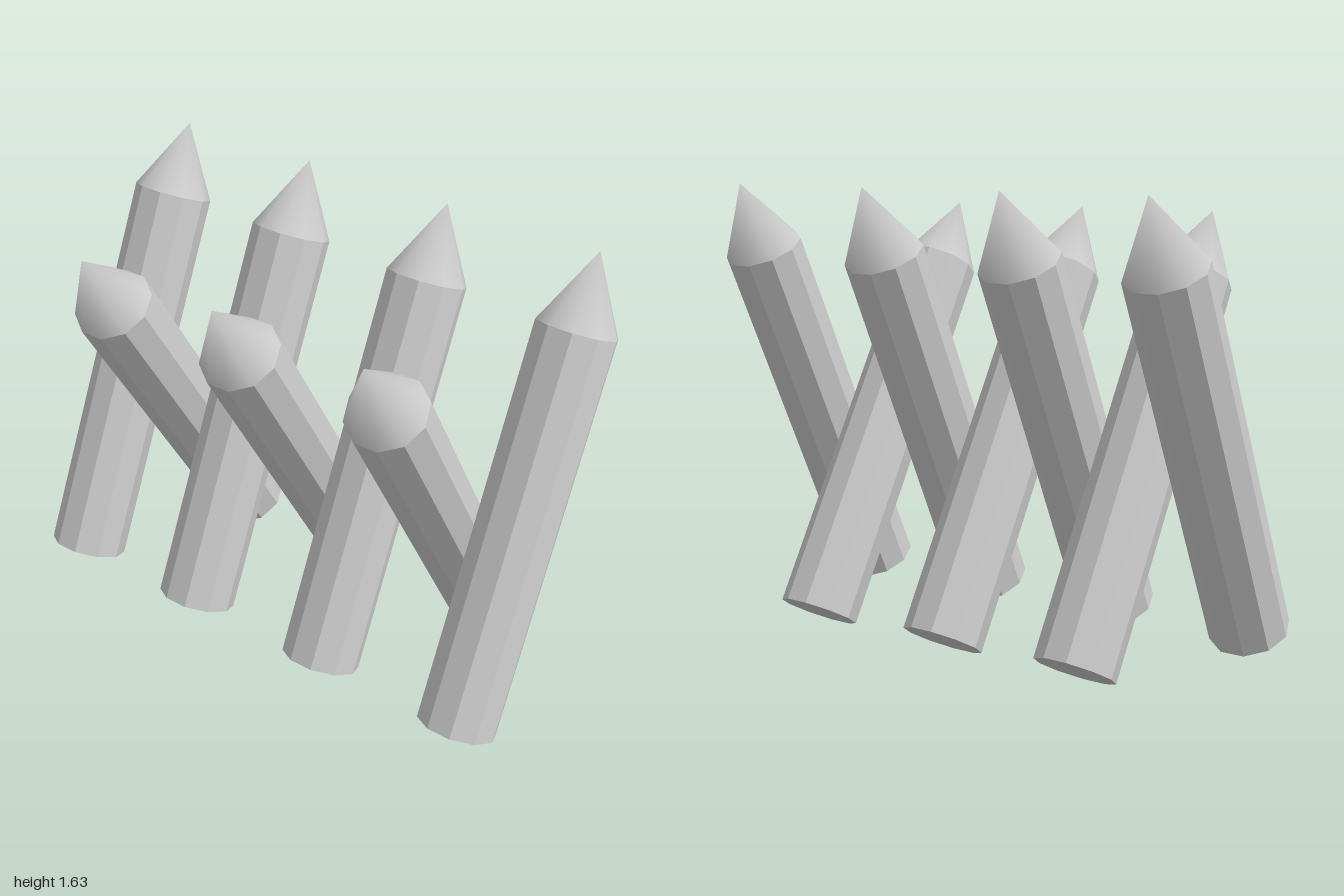
import * as THREE from 'three';
import { mergeVertices } from 'three/addons/utils/BufferGeometryUtils.js';

const SIDES = 10;
const RADIUS = 0.143;
const SHAFT = 1.438;
const POINT = 0.264;
const TURN = Math.PI / SIDES; // puts corners on the left and right of each log

export function createModel() {
  const group = new THREE.Group();
  const flat = new THREE.MeshStandardMaterial({ color: 0xcccccc, flatShading: true });
  const smooth = new THREE.MeshStandardMaterial({ color: 0xcccccc, side: THREE.DoubleSide });

  // Faceted shaft, standing on its foot
  const shaftGeometry = new THREE.CylinderGeometry(RADIUS, RADIUS, SHAFT, SIDES, 1, false, TURN);
  shaftGeometry.translate(0, SHAFT / 2, 0);

  // Smooth sharpened point with one shared tip vertex
  let pointGeometry = new THREE.ConeGeometry(RADIUS, POINT, SIDES, 1, true, TURN);
  pointGeometry.deleteAttribute('uv');
  pointGeometry.deleteAttribute('normal');
  pointGeometry = mergeVertices(pointGeometry);
  pointGeometry.computeVertexNormals();
  pointGeometry.translate(0, SHAFT + POINT / 2, 0);

  // One row of parallel stakes leaning by the given angle
  function addRow(name, xs, y, z, lean) {
    xs.forEach((x, i) => {
      const stake = new THREE.Group();
      stake.name = `${name}${i + 1}`;
      const shaft = new THREE.Mesh(shaftGeometry, flat);
      shaft.name = 'shaft';
      const point = new THREE.Mesh(pointGeometry, smooth);
      point.name = 'sharpenedPoint';
      stake.add(shaft, point);
      stake.position.set(x, y, z);
      stake.rotation.x = lean;
      group.add(stake);
    });
  }

  addRow('backLeaningStake', [-0.857, -0.303, 0.277, 0.857], 0.093, 0.308, -0.443);
  addRow('frontLeaningStake', [-0.573, -0.02, 0.56], 0.07, -0.37, 0.531);

  return group;
}
